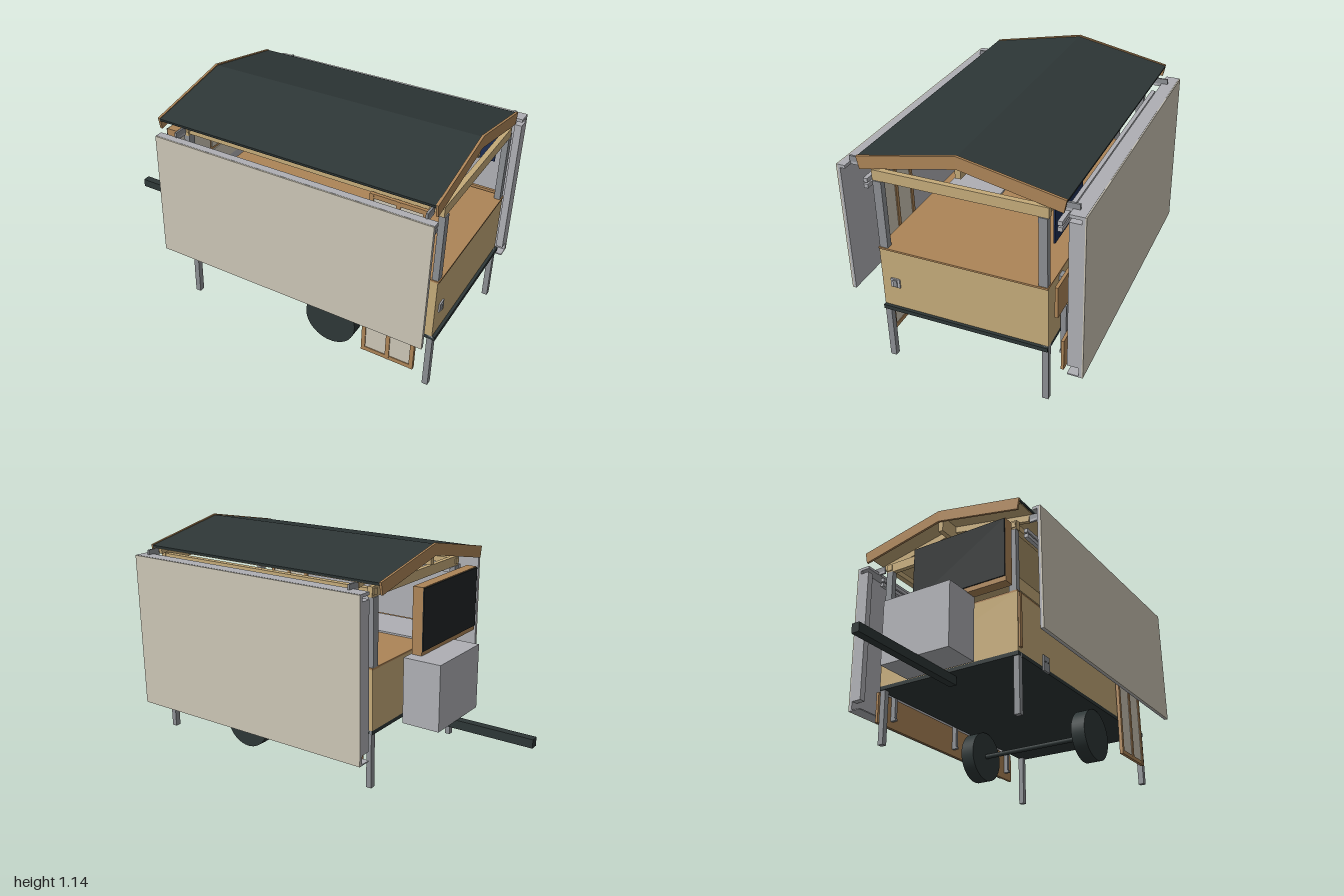
import * as THREE from 'three';

const mat = (name, color, opts = {}) => {
  const m = new THREE.MeshStandardMaterial({ color, ...opts });
  m.name = name;
  return m;
};

export function createModel() {
  const root = new THREE.Group();
  root.name = 'marketTrailer';

  const cream = mat('cream panel', 0xcbc5b5);
  const tan = mat('pale wood', 0xc4aa79);
  const brown = mat('brown wood', 0xac8457);
  const light = mat('light metal', 0xaeafb4);
  const steel = mat('grey steel', 0x8b8e92);
  const dark = mat('dark green metal', 0x2d3636);
  const black = mat('blackboard', 0x202526);
  const navy = mat('navy cloth', 0x1c2c52);

  // Box given by its limits on each axis
  const box = (name, m, x0, x1, y0, y1, z0, z1) => {
    const mesh = new THREE.Mesh(new THREE.BoxGeometry(x1 - x0, y1 - y0, z1 - z0), m);
    mesh.position.set((x0 + x1) / 2, (y0 + y1) / 2, (z0 + z1) / 2);
    mesh.name = name;
    root.add(mesh);
    return mesh;
  };

  // Gable-shaped bar lying across the trailer, extruded along x
  const gable = (name, m, x0, x1, half, apex, eave, thick) => {
    const s = new THREE.Shape([
      [-half, eave], [0, apex], [half, eave],
      [half - thick * 0.2, eave - thick], [0, apex - thick], [-half + thick * 0.2, eave - thick],
    ].map(([a, b]) => new THREE.Vector2(a, b)));
    const mesh = new THREE.Mesh(new THREE.ExtrudeGeometry(s, { depth: x1 - x0, bevelEnabled: false }), m);
    mesh.rotation.y = Math.PI / 2;
    mesh.position.x = x0;
    mesh.name = name;
    root.add(mesh);
  };

  // Chassis
  box('deck', dark, -0.36, 1, 0.28, 0.3, -0.4, 0.4);
  box('drawbar', dark, -1, -0.3, 0.235, 0.28, -0.02, 0.02);
  const cylinder = (name, r, length, z, sides) => {
    const c = new THREE.Mesh(new THREE.CylinderGeometry(r, r, length, sides), dark);
    c.rotation.x = Math.PI / 2;
    c.position.set(0.45, 0.138, z);
    c.name = name;
    root.add(c);
  };
  cylinder('axle', 0.013, 0.62, 0, 16);
  for (const s of [-1, 1]) cylinder('wheel', 0.135, 0.075, s * 0.337, 48);

  // Counter body
  box('body', tan, -0.36, 0.985, 0.3, 0.602, -0.4, 0.4);
  box('counterTop', brown, -0.36, 0.99, 0.602, 0.611, -0.4, 0.4);
  box('counterPlate', light, -0.3, 0.5, 0.611, 0.62, 0.085, 0.36);
  box('latchPlate', light, 0.985, 0.992, 0.41, 0.455, 0.31, 0.355);
  box('latchHandle', steel, 0.992, 0.997, 0.415, 0.45, 0.322, 0.342);

  // Legs, posts and end beams
  for (const s of [-1, 1]) {
    for (const x of [-0.34, 0.975]) {
      box('leg', steel, x - 0.014, x + 0.014, 0, 0.3, s * 0.385 - 0.015, s * 0.385 + 0.015);
      box('post', steel, x - 0.02, x + 0.01, 0.611, 0.945, s * 0.376 - 0.02, s * 0.376 + 0.02);
    }
    // Twin rails under the eaves
    for (const y of [0.9, 0.928]) {
      box('sideRail', light, -0.34, 0.97, y - 0.01, y + 0.01, s * 0.442 - 0.01, s * 0.442 + 0.01);
    }
    box('wallPlate', tan, -0.36, 0.96, 0.955, 0.985, s * 0.38 - 0.015, s * 0.38 + 0.015);
    // Panel hangers
    for (const x of [-0.31, 0.95]) {
      box('hangerArm', light, x - 0.005, x + 0.005, 0.985, 0.998, s * 0.5 - 0.05, s * 0.5 + 0.05);
      box('hangerBlock', steel, x - 0.005, x + 0.005, 0.985, 1.025, s * 0.485 - 0.035, s * 0.485 + 0.035);
    }
  }
  for (const x of [-0.355, 0.955]) box('endBeam', tan, x, x + 0.025, 0.945, 0.995, -0.4, 0.4);

  // Roof
  gable('roofCover', dark, -0.44, 0.967, 0.472, 1.132, 1.04, 0.012);
  gable('roofLining', tan, -0.436, 0.964, 0.466, 1.12, 1.03, 0.006);
  gable('bargeBoard', brown, -0.45, -0.438, 0.472, 1.138, 1.043, 0.06);
  gable('bargeBoard', brown, 0.965, 0.977, 0.472, 1.138, 1.043, 0.06);
  for (const x of [-0.315, 0.93]) gable('rafter', tan, x, x + 0.02, 0.45, 1.115, 1.028, 0.035);
  box('ridgeBeam', tan, -0.43, 0.965, 1.03, 1.115, -0.013, 0.013);

  // Front fold-out panel
  box('frontPanelFace', cream, -0.4, 1, 0.355, 0.999, 0.551, 0.558);
  box('frontPanelFrame', light, -0.4, 1, 0.355, 0.999, 0.539, 0.551);
  box('frontPanelLip', light, -0.4, 1, 0.985, 1, 0.515, 0.552);

  // Rear panel, a shallow tray open toward the body
  box('rearPanelFace', cream, -0.4, 1, 0.19, 0.999, -0.562, -0.556);
  box('rearPanelBack', light, -0.4, 1, 0.19, 0.999, -0.556, -0.542);
  box('rearPanelTopLip', light, -0.4, 1, 0.985, 1, -0.556, -0.49);
  box('rearPanelBottomLip', light, -0.4, 1, 0.19, 0.196, -0.542, -0.49);
  for (const x of [-0.4, 0.965]) box('rearPanelStile', light, x, x + 0.035, 0.24, 0.965, -0.542, -0.49);
  box('rolledCloth', navy, 0.6, 0.92, 0.79, 0.96, -0.402, -0.395);

  // Hanging shelves on the rear
  box('rearShelf', brown, -0.32, 0.97, 0.455, 0.61, -0.436, -0.421);
  box('rearLowBoard', brown, -0.33, 0.92, 0.13, 0.29, -0.445, -0.431);
  for (const x of [-0.22, 0.315, 0.85]) {
    box('shelfHinge', steel, x - 0.02, x + 0.02, 0.455, 0.595, -0.421, -0.4);
    box('boardStrut', steel, x - 0.009, x + 0.009, 0.165, 0.43, -0.431, -0.405);
    box('boardFoot', steel, x - 0.009, x + 0.009, 0.165, 0.177, -0.478, -0.4);
    box('boardHook', steel, x - 0.009, x + 0.009, 0.165, 0.19, -0.478, -0.466);
  }

  // Glazed door against the front side
  const dx = [0.65, 0.775, 0.898];
  for (const x of dx) box('doorStile', brown, x, x + 0.02, 0.085, 0.97, 0.41, 0.428);
  for (const y of [0.085, 0.52, 0.948]) box('doorRail', brown, 0.65, 0.918, y, y + 0.022, 0.411, 0.427);
  box('doorPane', cream, 0.66, 0.908, 0.095, 0.96, 0.415, 0.423);

  // Bracket and cleats at the front sill
  box('sillBracket', steel, -0.14, -0.085, 0.28, 0.36, 0.4, 0.408);
  for (const x of [-0.125, -0.1]) box('bracketBolt', dark, x - 0.003, x + 0.003, 0.325, 0.331, 0.408, 0.411);
  box('sillCleat', brown, -0.355, -0.335, 0.32, 0.6, 0.4, 0.41);

  // Board cabinet on the drawbar end, panes on its inner side
  box('cabinet', brown, -0.46, -0.405, 0.612, 0.95, -0.132, 0.4).scale.y = 1;
  box('cabinetBoard', black, -0.466, -0.46, 0.637, 0.946, -0.132, 0.398);
  for (const [z0, z1] of [[-0.11, 0.13], [0.148, 0.385]]) {
    for (const [y0, y1] of [[0.614, 0.715], [0.732, 0.946]]) {
      box('cabinetPane', cream, -0.405, -0.399, y0, y1, z0, z1);
    }
  }

  // Storage box over the drawbar
  box('storageBox', light, -0.6, -0.4, 0.28, 0.615, -0.198, 0.187);

  return root;
}
